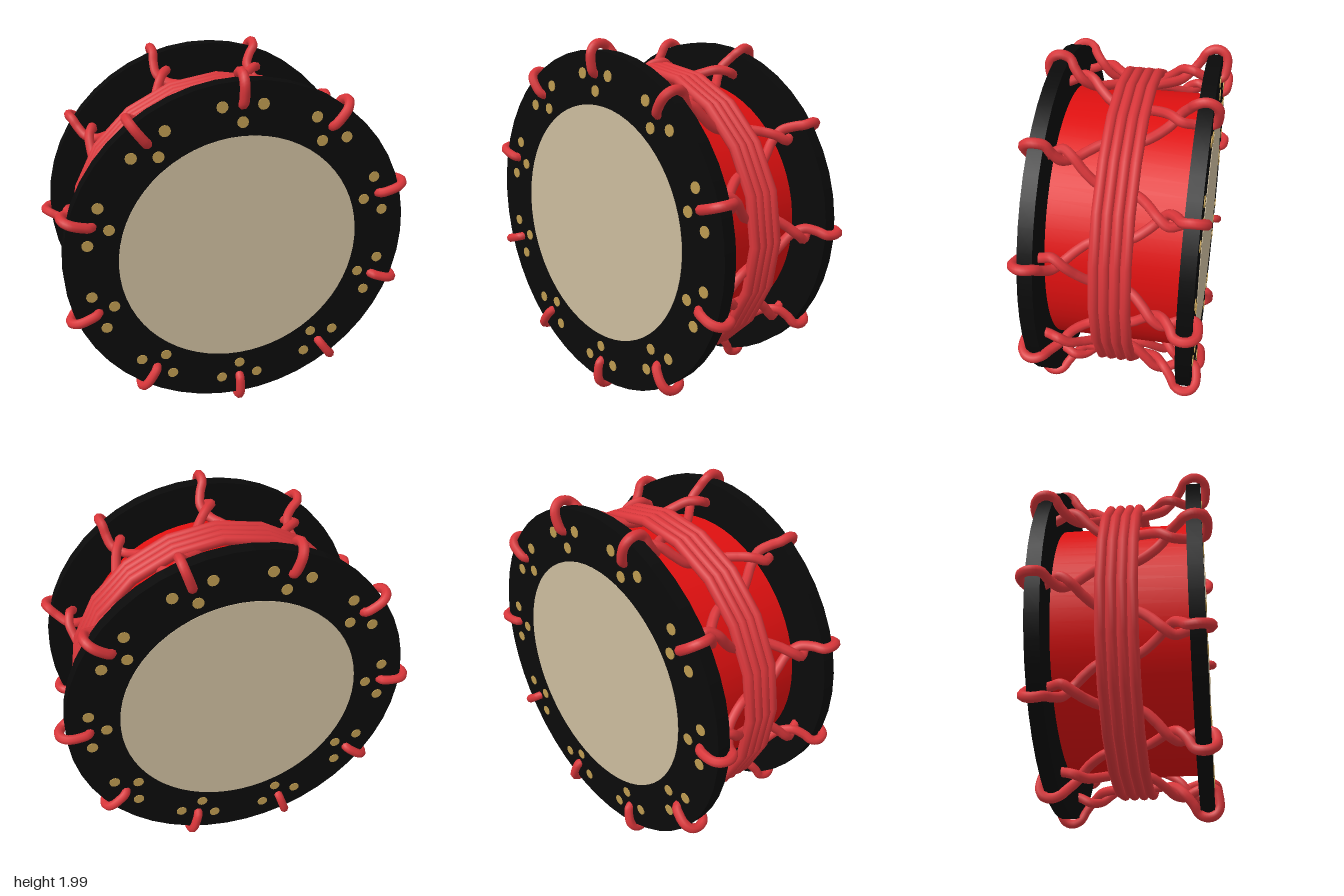
import * as THREE from 'three';

const mat = (name, color) => {
  const m = new THREE.MeshStandardMaterial({ color });
  m.name = name;
  return m;
};
const rad = THREE.MathUtils.degToRad;

export function createModel() {
  const shellRed = mat('shell red', 0xe01010);
  const ropeRed = mat('rope red', 0xd9363a);
  const black = mat('rim black', 0x0a0a0a);
  const skin = mat('skin tan', 0xcbbb9d);
  const gold = mat('stud gold', 0xbb994f);

  const model = new THREE.Group();
  model.name = 'ropeDrum';
  const drum = new THREE.Group();
  drum.name = 'drum';
  drum.position.y = 1;
  model.add(drum);

  const add = (parent, name, geometry, material) => {
    const m = new THREE.Mesh(geometry, material);
    m.name = name;
    parent.add(m);
    return m;
  };
  // Cylinder lying along z
  const disc = (r, depth, z, segments) =>
    new THREE.CylinderGeometry(r, r, depth, segments).rotateX(Math.PI / 2).translate(0, 0, z);

  // Shell
  add(drum, 'shell', disc(0.72, 0.72, 0, 64), shellRed);

  // Waist binding: four turns of rope pulled into a polygon
  [0.078, 0.026, -0.028, -0.082].forEach((z, i) => {
    const turn = new THREE.TorusGeometry(0.822, 0.028, 10, 20).translate(0, 0, z);
    add(drum, 'waistRope' + (i + 1), turn, ropeRed);
  });

  // One lacing: under the binding, twist, through the head, over the rim, twist back
  // Each point is depth z, radius, sideways angle in degrees
  const lacingPoints = [
    [0, 0.77, -9], [0.1, 0.785, -7.5], [0.165, 0.82, -4.2], [0.22, 0.855, -0.6],
    [0.275, 0.855, 2], [0.33, 0.83, 1], [0.385, 0.815, 0], [0.437, 0.827, 0],
    [0.452, 0.875, 0], [0.45, 0.93, 0], [0.425, 0.963, 0], [0.385, 0.973, 0],
    [0.343, 0.955, 0], [0.315, 0.91, -1.2], [0.272, 0.855, -2], [0.22, 0.805, 0.6],
    [0.165, 0.79, 4.2], [0.1, 0.785, 7.5], [0, 0.77, 9],
  ].map(([z, r, a]) => new THREE.Vector3(-r * Math.sin(rad(a)), r * Math.cos(rad(a)), z));
  const lacingGeo = new THREE.TubeGeometry(
    new THREE.CatmullRomCurve3(lacingPoints), 96, 0.026, 8);

  const studGeo = disc(0.03, 0.008, 0.427, 12);

  // A head with its lacings and studs, facing +z
  function createSide(name) {
    const side = new THREE.Group();
    side.name = name;
    add(side, 'rim', disc(0.94, 0.076, 0.388, 48), black);
    add(side, 'skin', disc(0.657, 0.006, 0.426, 64), skin);
    for (let k = 0; k < 10; k++) {
      const angle = rad(36 * k);
      add(side, 'lacing', lacingGeo, ropeRed).rotation.z = angle;
      for (const [r, a] of [[0.822, -7.4], [0.822, 7.4], [0.73, 0]]) {
        const t = angle + rad(a);
        add(side, 'stud', studGeo, gold).position.set(-r * Math.sin(t), r * Math.cos(t), 0);
      }
    }
    return side;
  }

  // The back head is turned so its lacings fall between the front ones
  const back = createSide('backHead');
  back.rotation.set(0, Math.PI, rad(18));
  drum.add(createSide('frontHead'), back);
  return model;
}
